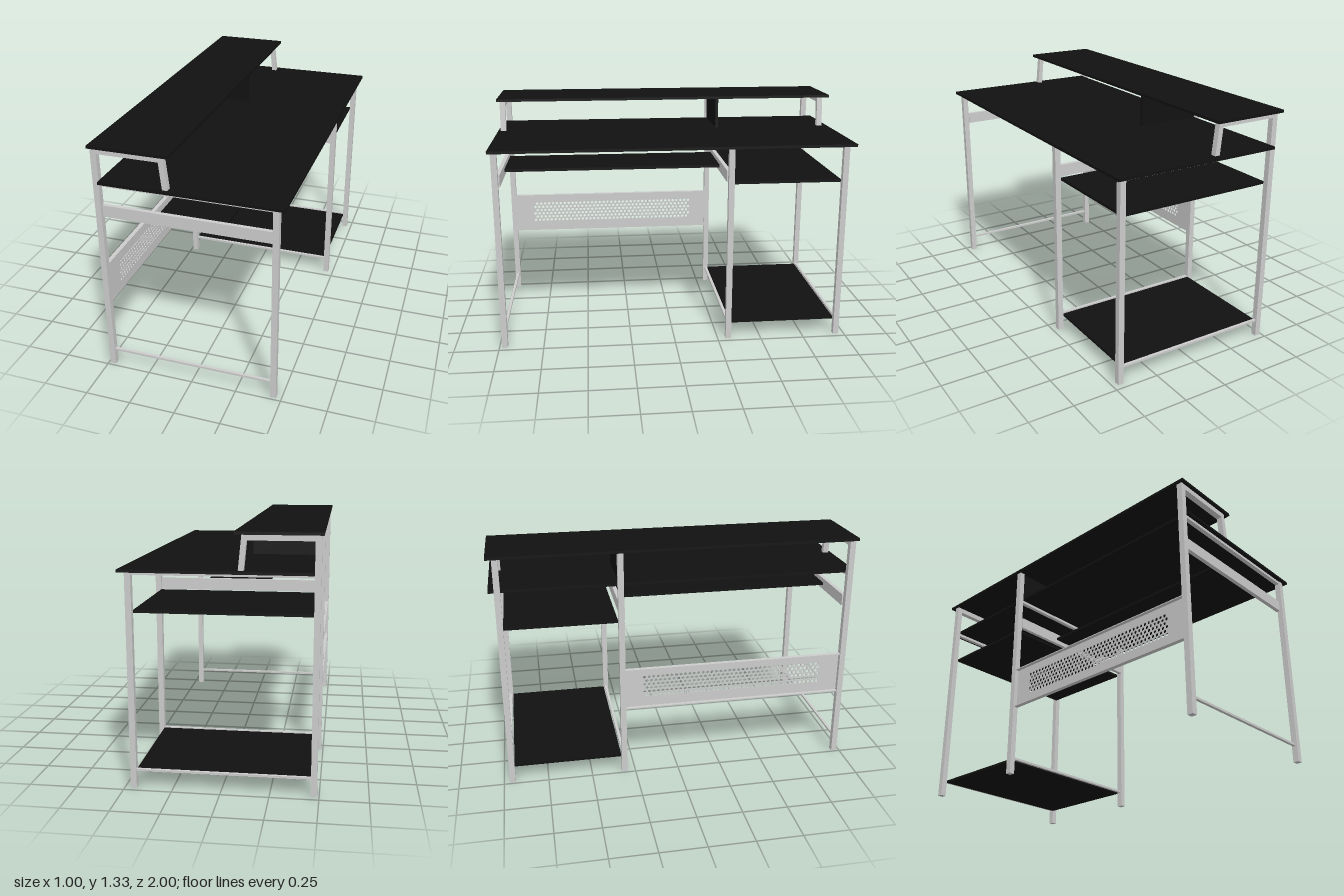
import * as THREE from 'three';

export function createModel() {
  const model = new THREE.Group();
  const metal = new THREE.MeshStandardMaterial({ color: 0xcccccc });
  const board = new THREE.MeshStandardMaterial({ color: 0x111111 });

  // Box given by its limits on each axis
  function box(name, mat, [x0, x1], [y0, y1], [z0, z1]) {
    const mesh = new THREE.Mesh(new THREE.BoxGeometry(x1 - x0, y1 - y0, z1 - z0), mat);
    mesh.position.set((x0 + x1) / 2, (y0 + y1) / 2, (z0 + z1) / 2);
    mesh.name = name;
    model.add(mesh);
    return mesh;
  }

  const backX = [-0.49, -0.458], frontX = [0.438, 0.47], between = [-0.458, 0.438];
  const frames = [[0.953, 0.985], [-0.328, -0.296], [-0.968, -0.936]];

  // Three frames: tall back leg, short front leg, top and bottom rails
  for (const z of frames) {
    box('backLeg', metal, backX, [0, 1.315], z);
    box('frontLeg', metal, frontX, [0, 1.125], z);
    const mid = (z[0] + z[1]) / 2;
    box('topRail', metal, between, [1.109, 1.125], [mid - 0.012, mid + 0.012]);
    box('bottomRail', metal, between, [0.088, 0.1], [mid - 0.008, mid + 0.008]);
  }

  // Boards
  box('desktop', board, [-0.458, 0.5], [1.125, 1.14], [-1, 1]);
  box('raisedShelf', board, [-0.5, -0.075], [1.315, 1.33], [-1, 1]);
  box('shelfDivider', board, [-0.458, -0.09], [1.14, 1.315], [-0.32, -0.304]);
  box('storageShelf', board, between, [0.915, 0.93], [-0.936, -0.328]);
  box('bottomShelf', board, between, [0.083, 0.097], [-0.936, -0.328]);
  box('innerShelf', board, [-0.17, 0.19], [0.955, 0.97], [-0.29, 0.947]);

  // Side plates carrying the inner shelf
  box('sidePlate', metal, between, [0.93, 0.995], [0.946, 0.968]);
  box('sidePlate', metal, between, [0.93, 0.995], [-0.311, -0.289]);

  // Bent brackets holding the raised shelf at both ends
  const bracket = new THREE.Shape([
    [-0.458, 1.285], [-0.132, 1.285], [-0.118, 1.14], [-0.09, 1.14], [-0.108, 1.315], [-0.458, 1.315],
  ].map(([x, y]) => new THREE.Vector2(x, y)));
  const bracketGeo = new THREE.ExtrudeGeometry(bracket, { depth: 0.032, bevelEnabled: false });
  for (const z of [frames[0], frames[2]]) {
    const mesh = new THREE.Mesh(bracketGeo, metal);
    mesh.position.z = z[0];
    mesh.name = 'shelfBracket';
    model.add(mesh);
  }

  // Perforated back panel, drawn in (-z, y) and turned to face the sides
  const panel = new THREE.Shape([
    [-0.953, 0.4], [0.296, 0.4], [0.296, 0.64], [-0.953, 0.64],
  ].map(([x, y]) => new THREE.Vector2(x, y)));
  const rows = 6, cols = 40, pitch = 0.0258;
  for (let r = 0; r < rows; r++) {
    for (let c = 0; c < cols; c++) {
      const cx = -0.832 + (c + (r % 2) * 0.5) * pitch;
      const hole = new THREE.Path();
      for (let k = 0; k < 6; k++) {
        const a = -(k + 0.5) * Math.PI / 3;
        const x = cx + 0.0095 * Math.cos(a), y = 0.47 + r * 0.0222 + 0.0095 * Math.sin(a);
        if (k) hole.lineTo(x, y); else hole.moveTo(x, y);
      }
      hole.closePath();
      panel.holes.push(hole);
    }
  }
  const panelGeo = new THREE.ExtrudeGeometry(panel, { depth: 0.005, bevelEnabled: false });
  panelGeo.rotateY(Math.PI / 2);
  const panelMesh = new THREE.Mesh(panelGeo, metal);
  panelMesh.position.x = -0.466;
  panelMesh.name = 'perforatedPanel';
  model.add(panelMesh);

  // Folded lips along the panel
  for (const y of [0.4, 0.635]) box('panelLip', metal, [-0.486, -0.466], [y, y + 0.005], [-0.296, 0.953]);

  return model;
}
